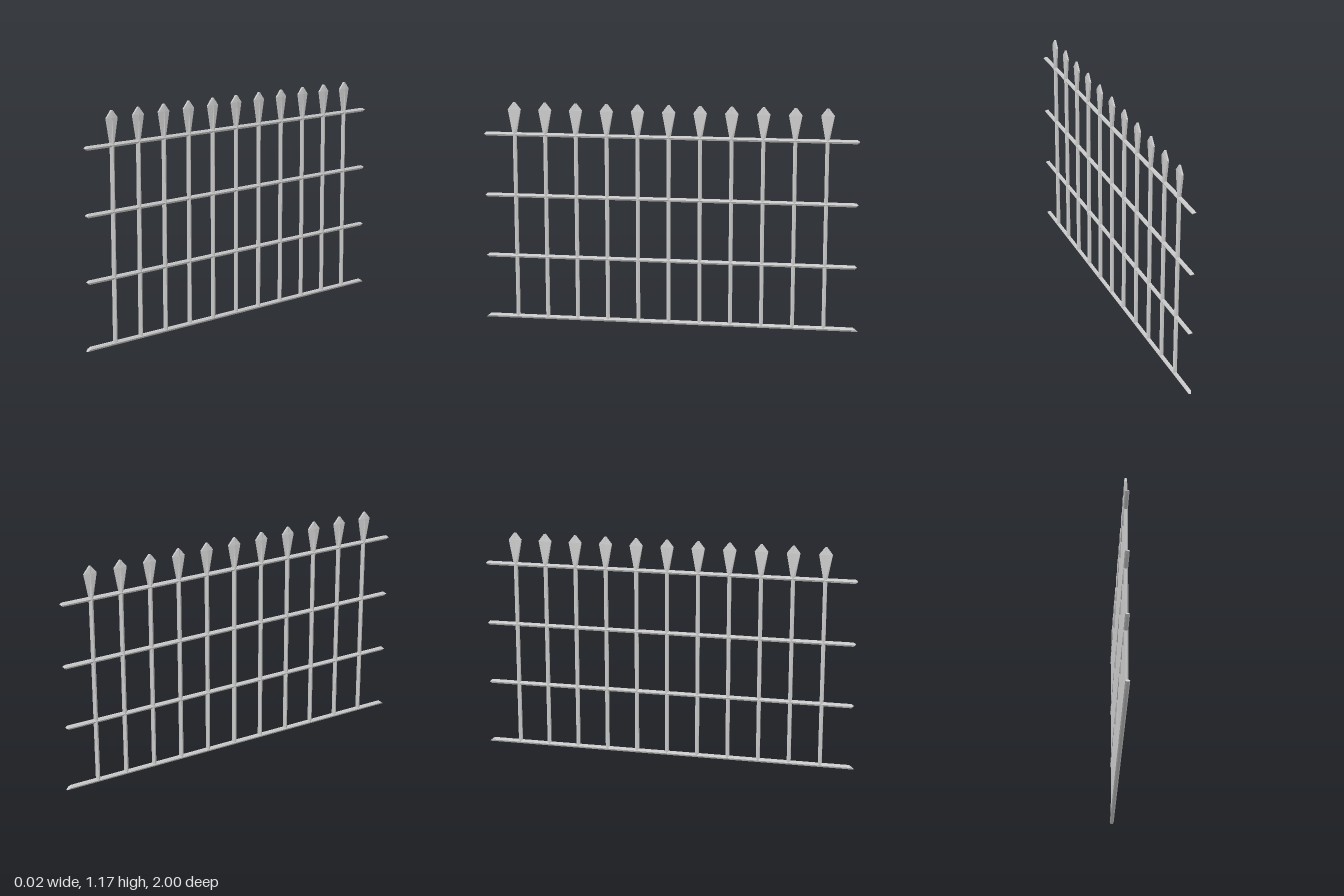
import * as THREE from 'three';

const R = 0.0115; // bar radius
const H = R * Math.sin(Math.PI / 3); // half height of a hexagonal rail
const material = new THREE.MeshStandardMaterial({ color: 0xcccccc, flatShading: true });

// Six-sided bar along y with its ridges on +x and -x
const hexBar = (length, rings = 1) =>
  new THREE.CylinderGeometry(R, R, length, 6, rings, false, Math.PI / 2);

// Moves every vertex by a rule, then facets the result
function reshape(geometry, rule) {
  const p = geometry.attributes.position;
  const v = new THREE.Vector3();
  for (let i = 0; i < p.count; i++) {
    v.fromBufferAttribute(p, i);
    rule(v);
    p.setXYZ(i, v.x, v.y, v.z);
  }
  const flat = geometry.toNonIndexed();
  flat.computeVertexNormals();
  return flat;
}

// Rail along z; the end rule gives the half length at each height
function railGeometry(halfLengthAt) {
  return reshape(hexBar(2).rotateX(Math.PI / 2), (v) => {
    v.z = Math.sign(v.z) * halfLengthAt(v.y);
  });
}

// Spearhead: flares along z while thinning along x, then closes to a blunt tip
function spearGeometry() {
  const sections = [
    { y: 0, x: 0.0115, z: 0.0115 },
    { y: 0.132, x: 0.009, z: 0.040 },
    { y: 0.17, x: 0.006, z: 0.006 },
  ];
  return reshape(hexBar(2, 2), (v) => {
    const s = sections[Math.round(v.y + 1)];
    v.set((v.x / R) * s.x, s.y, (v.z / R) * s.z);
  });
}

export function createModel() {
  const group = new THREE.Group();
  group.name = 'fencePanel';

  const add = (name, geometry, y, z = 0) => {
    const mesh = new THREE.Mesh(geometry, material);
    mesh.name = name;
    mesh.position.set(0, y, z);
    group.add(mesh);
  };

  // Rails: bottom one has mitred ends, the others pointed ends
  add('bottomRail', railGeometry((y) => 1 - 0.025 * (y + H) / (2 * H)), H);
  const rail = railGeometry((y) => 0.988 - 0.011 * Math.abs(y) / H);
  [0.345, 0.675, 1.004].forEach((y) => add('rail', rail, y));

  // Upright bars, each with a spearhead
  const postHeight = 0.994;
  const post = hexBar(postHeight);
  const spear = spearGeometry();
  for (let i = -5; i <= 5; i++) {
    add('post', post, 0.01 + postHeight / 2, i * 0.1645);
    add('spearhead', spear, 1.004, i * 0.1645);
  }
  return group;
}
